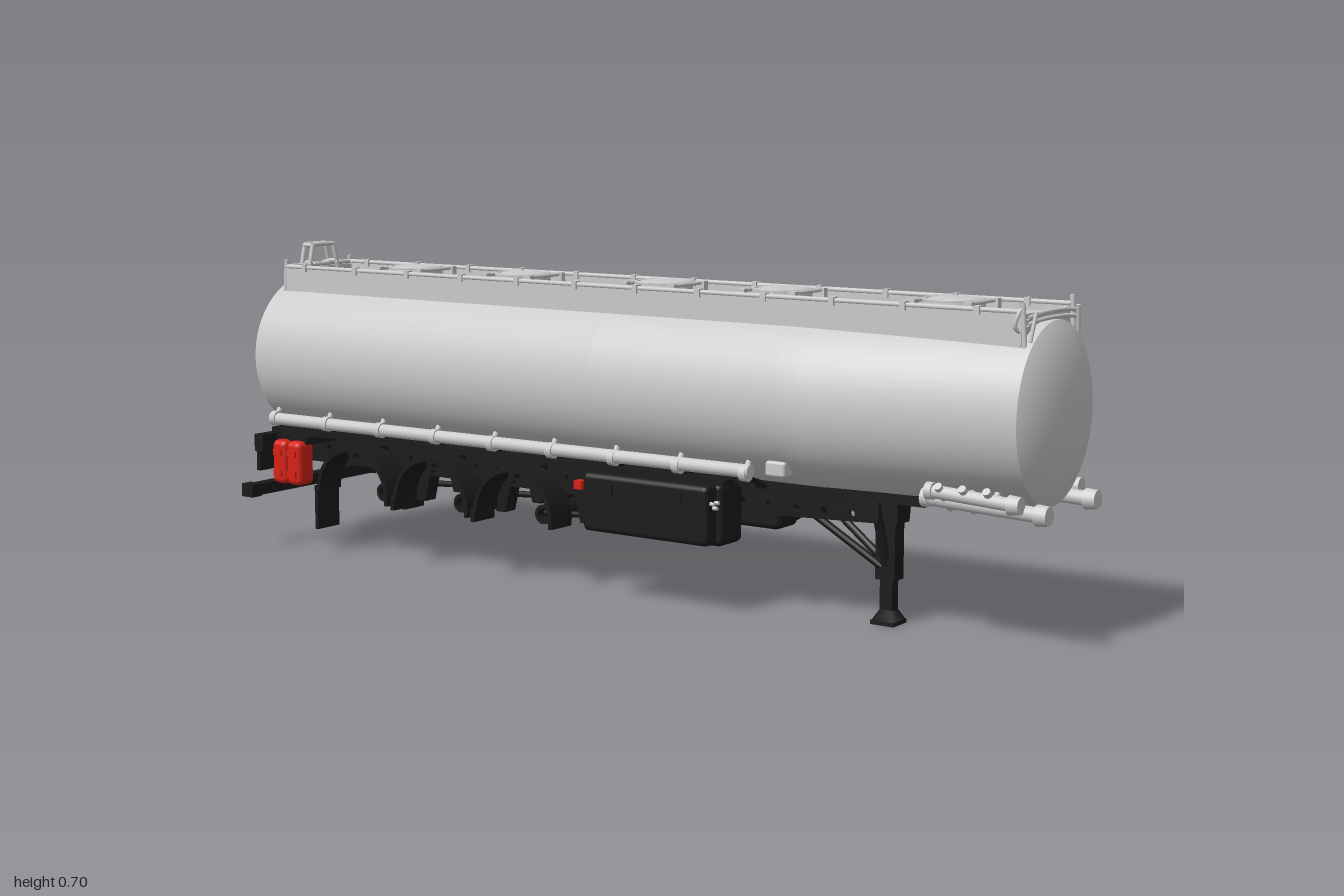
import * as THREE from 'three';
import { RoundedBoxGeometry } from 'three/addons/geometries/RoundedBoxGeometry.js';

const material = (name, color, side = THREE.FrontSide) => {
  const m = new THREE.MeshStandardMaterial({ color, side });
  m.name = name;
  return m;
};
const V = (x, y, z) => new THREE.Vector3(x, y, z);

export function createModel() {
  const root = new THREE.Group();
  root.name = 'tankSemiTrailer';
  const steel = material('tankGrey', 0xcacaca, THREE.DoubleSide);
  const black = material('chassisBlack', 0x1a1a1a);
  const red = material('signalRed', 0xd62216);

  const add = (name, geo, mat, x = 0, y = 0, z = 0) => {
    const mesh = new THREE.Mesh(geo, mat);
    mesh.name = name;
    mesh.position.set(x, y, z);
    root.add(mesh);
    return mesh;
  };
  // Box given by its minimum and maximum corners
  const box = (name, mat, x0, x1, y0, y1, z0, z1, r = 0) => {
    const s = [x1 - x0, y1 - y0, z1 - z0];
    const geo = r ? new RoundedBoxGeometry(...s, 2, r) : new THREE.BoxGeometry(...s);
    return add(name, geo, mat, (x0 + x1) / 2, (y0 + y1) / 2, (z0 + z1) / 2);
  };
  // Round bar between two points
  const bar = (name, mat, a, b, r, r2 = r, sides = 10) => {
    const d = b.clone().sub(a);
    const mesh = add(name, new THREE.CylinderGeometry(r2, r, d.length(), sides), mat);
    mesh.position.copy(a).addScaledVector(d, 0.5);
    mesh.quaternion.setFromUnitVectors(V(0, 1, 0), d.normalize());
    return mesh;
  };
  const pipe = (name, mat, pts, r) =>
    add(name, new THREE.TubeGeometry(new THREE.CatmullRomCurve3(pts), 24, r, 8), mat);

  // Skin through elliptical sections [x, half width, half height, centre y], ordered along +x
  const N = 64;
  const loft = (name, sections) => {
    const pos = [], idx = [];
    sections.forEach(([x, w, h, cy], i) => {
      for (let j = 0; j < N; j++) {
        const a = (j / N) * Math.PI * 2;
        pos.push(x, cy + h * Math.cos(a), w * Math.sin(a));
        if (!i) continue;
        const k = (j + 1) % N, p = (i - 1) * N, q = i * N;
        idx.push(p + j, p + k, q + j, p + k, q + k, q + j);
      }
    });
    const geo = new THREE.BufferGeometry();
    geo.setAttribute('position', new THREE.Float32BufferAttribute(pos, 3));
    geo.setIndex(idx);
    geo.computeVertexNormals();
    add(name, geo, steel);
  };

  // Tank shell and domed ends
  const rear = [-0.945, 0.187, 0.182, 0.441], front = [0.955, 0.162, 0.176, 0.448];
  loft('tankShell', [rear, [0, 0.187, 0.182, 0.441], [0.45, 0.187, 0.182, 0.441],
    [0.5, 0.185, 0.182, 0.441], front]);
  const dome = ([x, w, h, cy], depth) => [1, 0.98, 0.94, 0.87, 0.75, 0.55, 0.3, 0.001]
    .map(s => [x + depth * (1 - s ** 3), w * s, h * s, cy]);
  loft('frontDome', dome(front, 0.035));
  loft('rearDome', dome(rear, -0.035).reverse());

  // Sunken walkway along the roof
  box('walkwayDeck', steel, -0.915, 0.93, 0.618, 0.628, -0.1, 0.1);
  for (const x of [-0.915, 0.93]) box('walkwayEnd', steel, x - 0.004, x + 0.004, 0.59, 0.64, -0.105, 0.105);
  for (const s of [-1, 1]) {
    const c = s * 0.105;
    box('walkwaySide', steel, -0.92, 0.934, 0.578, 0.643, c - 0.003, c + 0.003);
    bar('walkwayRail', steel, V(-0.92, 0.645, c), V(0.934, 0.645, c), 0.005);
    for (let i = 0; i < 12; i++) {
      const x = -0.86 + i * 0.155;
      box('railClip', steel, x - 0.006, x + 0.006, 0.635, 0.652, c - 0.008, c + 0.008);
    }
    // Front and rear corner posts with splayed handles
    bar('frontCornerPost', steel, V(0.94, 0.575, s * 0.104), V(0.935, 0.662, s * 0.106), 0.005);
    bar('frontCornerBrace', steel, V(0.95, 0.59, s * 0.103), V(0.955, 0.645, s * 0.09), 0.004);
    pipe('cornerHandle', steel, [V(0.935, 0.655, s * 0.104), V(0.93, 0.64, s * 0.113),
      V(0.925, 0.618, s * 0.115), V(0.93, 0.606, s * 0.104)], 0.004);
    bar('rearCornerPost', steel, V(-0.925, 0.585, s * 0.105), V(-0.92, 0.66, s * 0.105), 0.005);
  }
  for (const y of [0.622, 0.634]) pipe('frontCrossRail', steel,
    [V(0.945, y, -0.105), V(0.945, y + 0.005, -0.05), V(0.945, y + 0.005, 0.05), V(0.945, y, 0.105)], 0.004);
  bar('rearCrossRail', steel, V(-0.92, 0.645, -0.105), V(-0.92, 0.645, 0.105), 0.005);

  // Manholes with side bars
  for (const x of [-0.62, -0.31, 0.065, 0.355, 0.74]) {
    add('manholeCollar', new THREE.CylinderGeometry(0.06, 0.062, 0.022, 32), steel, x, 0.639, 0);
    add('manholeLid', new THREE.SphereGeometry(0.052, 32, 6, 0, Math.PI * 2, 0, Math.PI / 2), steel, x, 0.65, 0)
      .scale.y = 0.12;
    add('manholeRing', new THREE.TorusGeometry(0.057, 0.004, 6, 32), steel, x, 0.65, 0).rotation.x = Math.PI / 2;
    for (const s of [-1, 1]) {
      bar('manholeBar', steel, V(x + s * 0.06, 0.648, -0.06), V(x + s * 0.06, 0.648, 0.06), 0.004);
      for (const z of [-0.055, 0.055]) box('manholeClamp', steel, x + s * 0.06 - 0.009, x + s * 0.06 + 0.009, 0.627, 0.652, z - 0.007, z + 0.007);
    }
  }

  // Rear ladder and safety hoops
  for (const s of [-1, 1]) {
    const z = s * 0.036;
    pipe('ladderRail', steel, [V(-0.9, 0.652, z), V(-0.94, 0.645, z), V(-0.972, 0.59, z), V(-0.99, 0.5, z),
      V(-0.994, 0.4, z), V(-0.99, 0.235, z)], 0.005);
    const hx = s < 0 ? -0.93 : -0.905;
    const pts = [V(hx, 0.635, -0.048), V(hx, 0.692, -0.034), V(hx, 0.692, 0.034), V(hx, 0.635, 0.048)];
    pts.slice(1).forEach((p, i) => bar('safetyHoop', steel, pts[i], p, 0.005));
    bar('hoopLink', steel, V(-0.93, 0.69, z), V(-0.905, 0.69, z), 0.005);
    for (const y of [0.3, 0.55]) bar('ladderBracket', steel, V(-0.99, y, z), V(-0.95, y, z), 0.004);
  }
  for (let i = 0; i < 9; i++) {
    const y = 0.25 + i * 0.042, x = -0.993 + Math.max(0, y - 0.45) ** 2 * 0.8;
    bar('ladderRung', steel, V(x, y, -0.036), V(x, y, 0.036), 0.004);
  }

  // Chassis beam with lightening holes
  const web = new THREE.Shape([[-0.95, 0.198], [0.28, 0.198], [0.62, 0.212], [0.62, 0.262], [-0.95, 0.262]]
    .map(p => new THREE.Vector2(...p)));
  for (let i = 0; i < 24; i++) {
    const h = new THREE.Path();
    h.absarc(-0.9 + i * 0.0635, 0.225, 0.007, 0, Math.PI * 2, true);
    web.holes.push(h);
  }
  const webGeo = new THREE.ExtrudeGeometry(web, { depth: 0.01, bevelEnabled: false, curveSegments: 6 });
  box('kingpinPlate', black, 0.3, 0.72, 0.254, 0.272, -0.065, 0.065);
  for (let i = 0; i < 8; i++) {
    const x = -0.93 + i * 0.2;
    box('crossMember', black, x - 0.012, x + 0.012, 0.205, 0.25, -0.06, 0.06);
  }

  // Half-ring mudguard and tapered suspension hanger
  const arch = new THREE.Shape();
  arch.absarc(0, 0, 0.107, 0, Math.PI, false);
  arch.absarc(0, 0, 0.098, Math.PI, 0, true);
  const archGeo = new THREE.ExtrudeGeometry(arch, { depth: 0.07, bevelEnabled: false, curveSegments: 24 });
  const hanger = new THREE.Shape([[-0.012, 0.135], [0.012, 0.135], [0.03, 0.205], [-0.03, 0.205]]
    .map(p => new THREE.Vector2(...p)));
  const hangerGeo = new THREE.ExtrudeGeometry(hanger, { depth: 0.035, bevelEnabled: false });

  const axles = [-0.66, -0.43, -0.2];
  for (const s of [-1, 1]) {
    const span = (name, mat, x0, x1, y0, y1, a, b, r) =>
      box(name, mat, x0, x1, y0, y1, Math.min(s * a, s * b), Math.max(s * a, s * b), r);
    add('chassisBeam', webGeo, black, 0, 0, s * 0.06 - 0.005);
    span('beamFlange', black, -0.95, 0.28, 0.194, 0.201, 0.04, 0.08);
    span('tankCradle', black, -0.94, 0.35, 0.256, 0.275, 0.045, 0.085);
    span('sideSill', black, -0.93, 0.32, 0.266, 0.278, 0.115, 0.155);

    // Mudguards, flaps and suspension
    for (const x of axles) {
      add('mudguard', archGeo, black, x, 0.148, s * 0.146 - 0.035);
      span('mudguardStay', black, x - 0.008, x + 0.008, 0.235, 0.25, 0.05, 0.18);
      span('mudFlap', black, x - 0.113, x - 0.104, x === axles[0] ? 0.06 : 0.128, 0.16, 0.112, 0.181);
      span('mudguardTip', black, x + 0.098, x + 0.107, 0.135, 0.15, 0.112, 0.181);
      add('suspensionHanger', hangerGeo, black, x + 0.118, 0, s * 0.063 - 0.0175);
      bar('suspensionArm', black, V(x + 0.115, 0.15, s * 0.063), V(x, 0.143, s * 0.063), 0.007);
      bar('shockAbsorber', black, V(x + 0.01, 0.15, s * 0.045), V(x + 0.07, 0.21, s * 0.045), 0.007);
    }

    // Tool boxes
    span('toolBoxBody', black, 0.015, 0.31, 0.14, 0.27, 0.065, 0.15, 0.014);
    span('toolBoxDoor', black, -0.01, 0.3, 0.145, 0.268, 0.14, 0.186, 0.012);
    for (const x of [0.06, 0.23]) span('toolBoxLatch', black, x - 0.01, x + 0.01, 0.225, 0.25, 0.184, 0.19);
    // Small air couplings on the front of the box
    for (const [y, z] of [[0.232, 0.172], [0.222, 0.162], [0.232, 0.156]])
      bar('airCoupling', steel, V(0.295, y, s * z), V(0.31, y, s * z), 0.004);

    // Extinguisher cases hung beside the rear axle
    for (const x of [-0.864, -0.82]) {
      span('extinguisherCase', red, x - 0.0215, x + 0.0215, 0.157, 0.258, 0.152, 0.203, 0.013);
      for (const y of [0.183, 0.23]) span('caseLatch', red, x - 0.012, x + 0.012, y - 0.007, y + 0.007, 0.2, 0.208);
    }
    span('caseBracket', black, -0.89, -0.795, 0.25, 0.268, 0.07, 0.18);
    span('sideMarker', red, -0.058, -0.038, 0.222, 0.24, 0.13, 0.15);

    // Rear frame, lamps and bumper arms
    span('bumperArm', black, -0.96, -0.93, 0.13, 0.26, 0.05, 0.08);
    span('lampBoard', black, -0.951, -0.94, 0.178, 0.222, 0.09, 0.185);
    for (const z of [0.115, 0.165]) span('rearLamp', red, -0.956, -0.95, 0.184, 0.202, z - 0.01, z + 0.01);
    span('bumperEndCap', black, -0.968, -0.934, 0.12, 0.15, 0.19, 0.218);

    // Long hose tubes with collars and brackets
    bar('hoseTube', steel, V(-0.93, 0.297, s * 0.15), V(0.38, 0.302, s * 0.15), 0.014, 0.014, 16);
    for (let i = 0; i < 9; i++) {
      const x = -0.92 + i * 0.161;
      bar('hoseTubeCollar', steel, V(x - 0.008, 0.298, s * 0.15), V(x + 0.008, 0.298, s * 0.15), 0.017, 0.017, 16);
      bar('hoseTubeBracket', steel, V(x, 0.298, s * 0.15), V(x, 0.325, s * 0.135), 0.006);
      bar('hoseTubeStay', black, V(x, 0.29, s * 0.145), V(x, 0.262, s * 0.08), 0.006);
    }
    span('fillerBox', steel, 0.415, 0.46, 0.297, 0.328, 0.11, 0.155, 0.006);

    // Short front hose tubes
    for (const [x0, x1, y, z, r] of [[0.74, 0.985, 0.274, 0.106, 0.015], [0.76, 0.94, 0.292, 0.13, 0.013]]) {
      bar('frontHoseTube', steel, V(x0, y + 0.01, s * z), V(x1, y, s * z), r, r, 16);
      bar('frontHoseCap', steel, V(x1 - 0.01, y, s * z), V(x1 + 0.014, y, s * z), r + 0.006, r + 0.004, 16);
      bar('frontHoseCollar', steel, V(x0, y + 0.01, s * z), V(x0 + 0.015, y + 0.01, s * z), r + 0.004, r + 0.004, 16);
    }
    for (const x of [0.79, 0.84, 0.89]) {
      bar('frontHoseBracket', steel, V(x, 0.265, s * 0.09), V(x, 0.315, s * 0.145), 0.008);
      bar('frontHoseStay', steel, V(x, 0.28, s * 0.11), V(x, 0.32, s * 0.09), 0.006);
    }
    // Landing leg gusset
    bar('legGusset', black, V(0.61, 0.12, s * 0.012), V(0.6, 0.255, s * 0.045), 0.01);
    bar('legBrace', black, V(0.6, 0.115, s * 0.012), V(0.45, 0.215, s * 0.04), 0.008);
  }

  // Hollow axle tubes
  const ring = new THREE.Shape().absarc(0, 0, 0.021, 0, Math.PI * 2, false);
  ring.holes.push(new THREE.Path().absarc(0, 0, 0.013, 0, Math.PI * 2, true));
  const axleGeo = new THREE.ExtrudeGeometry(ring, { depth: 0.15, bevelEnabled: false, curveSegments: 12 });
  for (const x of axles) add('axleTube', axleGeo, black, x, 0.14, -0.075);

  // Rear bumper and cross beam
  box('rearBumper', black, -0.966, -0.936, 0.122, 0.148, -0.215, 0.215);
  box('rearCrossBeam', black, -0.957, -0.93, 0.222, 0.262, -0.185, 0.185);

  // Central landing leg
  box('legUpper', black, 0.588, 0.632, 0.09, 0.26, -0.018, 0.018);
  box('legHead', black, 0.575, 0.64, 0.205, 0.262, -0.025, 0.025);
  box('legLower', black, 0.596, 0.624, 0.015, 0.12, -0.012, 0.012);
  const foot = add('legFoot', new THREE.CylinderGeometry(0.018, 0.035, 0.022, 4), black, 0.61, 0.019, 0);
  foot.rotation.y = Math.PI / 4;
  box('legFootPlate', black, 0.584, 0.636, 0, 0.008, -0.027, 0.027);
  return root;
}
